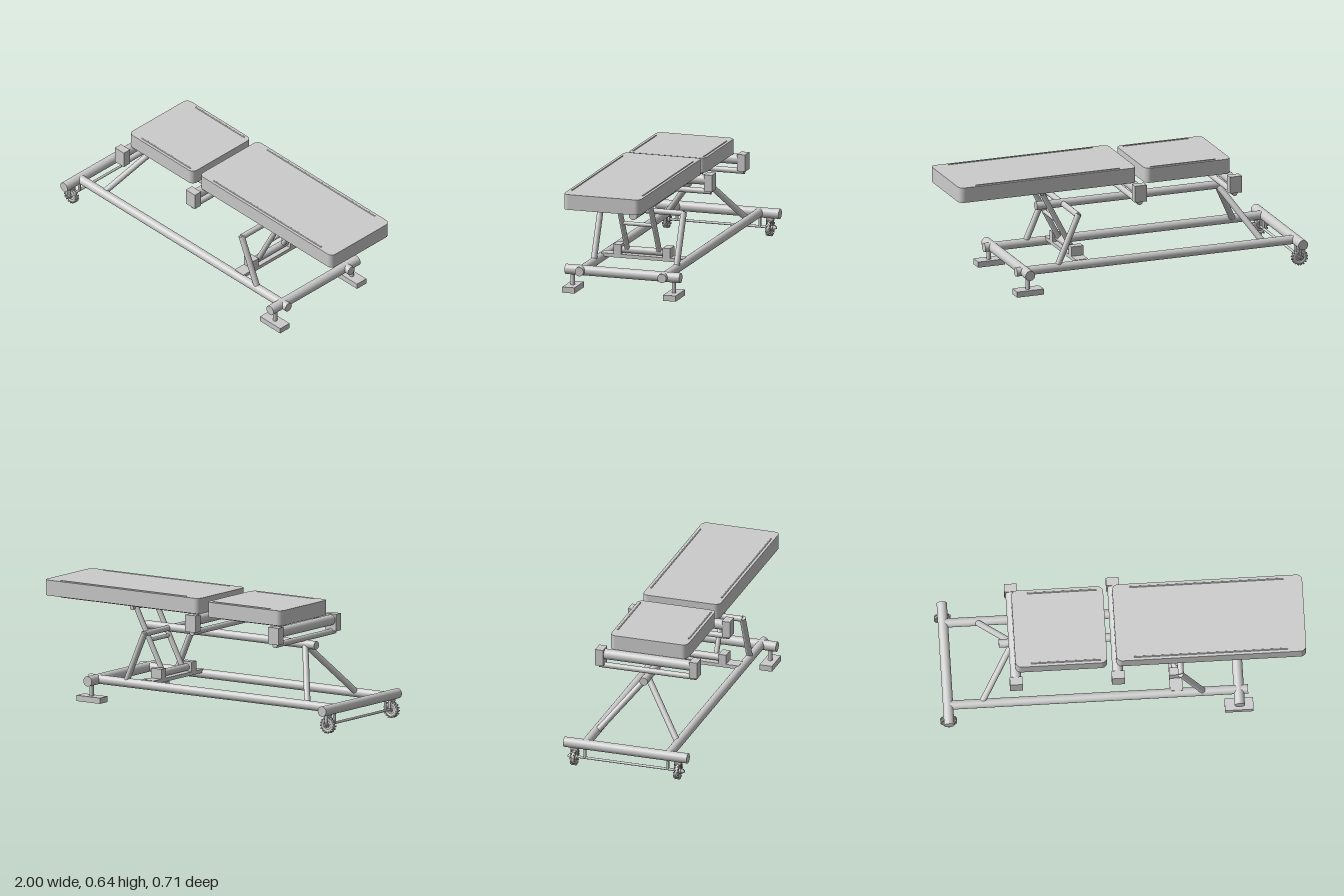
import * as THREE from 'three';

const material = new THREE.MeshStandardMaterial({ color: 0xcccccc });

export function createModel() {
  const model = new THREE.Group();

  const add = (name, geometry, x = 0, y = 0, z = 0, parent = model) => {
    const mesh = new THREE.Mesh(geometry, material);
    mesh.name = name;
    mesh.position.set(x, y, z);
    parent.add(mesh);
    return mesh;
  };
  const box = (name, w, h, d, x, y, z, parent) =>
    add(name, new THREE.BoxGeometry(w, h, d), x, y, z, parent);

  // Round tube between two points
  const tube = (name, a, b, r, parent) => {
    const from = new THREE.Vector3(...a), to = new THREE.Vector3(...b);
    const dir = to.clone().sub(from);
    const mesh = add(name, new THREE.CylinderGeometry(r, r, dir.length(), 32), 0, 0, 0, parent);
    mesh.position.copy(from).add(to).multiplyScalar(0.5);
    mesh.quaternion.setFromUnitVectors(new THREE.Vector3(0, 1, 0), dir.normalize());
    return mesh;
  };
  const crossTube = (name, x, y, halfLength, r) =>
    tube(name, [x, y, -halfLength], [x, y, halfLength], r);

  // Padded section: slab with rounded corners, piping on top, rails underneath
  const cushion = (name, x0, x1, y0, y1, piping, rail) => {
    const group = new THREE.Group();
    group.name = name;
    model.add(group);
    const r = 0.032, w = 0.222;
    const s = new THREE.Shape();
    s.absarc(x1 - r, w - r, r, 0, Math.PI / 2);
    s.absarc(x0 + r, w - r, r, Math.PI / 2, Math.PI);
    s.absarc(x0 + r, -w + r, r, Math.PI, Math.PI * 1.5);
    s.absarc(x1 - r, -w + r, r, Math.PI * 1.5, Math.PI * 2);
    const slab = new THREE.ExtrudeGeometry(s, { depth: y1 - y0, bevelEnabled: false, curveSegments: 10 });
    slab.rotateX(-Math.PI / 2);
    add('pad', slab, 0, y0, 0, group);
    for (const side of [-1, 1]) {
      tube('piping', [piping[0], y1, side * 0.203], [piping[1], y1, side * 0.203], 0.004, group);
      tube('padRail', [rail[0], y0 - 0.004, side * 0.152], [rail[1], y0 - 0.004, side * 0.152], 0.013, group);
    }
  };
  cushion('headCushion', -0.585, -0.085, 0.545, 0.628, [-0.5, -0.12], [-0.565, -0.135]);
  cushion('bodyCushion', -0.035, 1.0, 0.555, 0.64, [0.06, 0.9], [-0.01, 0.93]);

  // Base frame
  crossTube('rearCrossTube', -0.955, 0.13, 0.355, 0.028);
  crossTube('footCrossTube', 0.63, 0.13, 0.33, 0.028);
  for (const side of [-1, 1])
    tube('baseRail', [-0.955, 0.131, side * 0.238], [0.68, 0.131, side * 0.238], 0.025);

  // Central beam and its supporting legs
  tube('centralBeam', [-0.665, 0.415, 0], [0.47, 0.415, 0], 0.023);
  crossTube('legTopTube', 0.315, 0.413, 0.238, 0.016);
  for (const side of [-1, 1]) {
    tube('slantedLeg', [-0.765, 0.14, side * 0.225], [-0.59, 0.415, 0], 0.017);
    tube('uprightLeg', [0.435, 0.14, side * 0.238], [0.313, 0.42, side * 0.238], 0.017);
  }

  // Hinge brackets carrying the cushions
  for (const [x, y] of [[-0.585, 0.5], [-0.03, 0.512]]) {
    crossTube('hingeTube', x, y + 0.013, 0.255, 0.029);
    crossTube('lowerHingeTube', x, y - 0.052, 0.278, 0.016);
    for (const side of [-1, 1])
      box('hingeBracket', 0.07, 0.094, 0.046, x, y, side * 0.27);
  }

  // Lifting strut
  box('strutPlate', 0.07, 0.02, 0.47, 0.29, 0.148, 0);
  crossTube('strutPivot', 0.29, 0.18, 0.13, 0.02);
  tube('strutTopBar', [0.48, 0.523, -0.125], [0.48, 0.523, 0.125], 0.012);
  crossTube('strutRung', 0.386, 0.35, 0.09, 0.011);
  for (const side of [-1, 1]) {
    box('strutBlock', 0.07, 0.054, 0.043, 0.29, 0.185, side * 0.142);
    tube('strutArm', [0.3, 0.19, side * 0.092], [0.477, 0.53, side * 0.092], 0.0145);
  }

  // Feet
  for (const side of [-1, 1]) {
    box('foot', 0.156, 0.032, 0.071, 0.628, 0.03, side * 0.291);
    tube('footPost', [0.63, 0.04, side * 0.291], [0.63, 0.13, side * 0.291], 0.012);
  }

  // Wheels with knobbed tyres, axle and forks
  crossTube('axle', -0.955, 0.051, 0.335, 0.007);
  for (const side of [-1, 1]) {
    const wheel = new THREE.Group();
    wheel.name = 'wheel';
    wheel.position.set(-0.955, 0.048, side * 0.297);
    model.add(wheel);
    add('tyre', new THREE.TorusGeometry(0.032, 0.011, 12, 40), 0, 0, 0, wheel);
    tube('wheelDisc', [0, 0, -0.007], [0, 0, 0.007], 0.029, wheel);
    tube('hub', [0, 0, -0.016], [0, 0, 0.016], 0.013, wheel);
    for (let i = 0; i < 16; i++) {
      const a = (i / 16) * Math.PI * 2;
      for (const row of [-1, 1]) {
        const b = a + row * 0.1;
        box('tread', 0.009, 0.008, 0.011, Math.cos(b) * 0.041, Math.sin(b) * 0.041, row * 0.008, wheel)
          .rotation.z = b;
      }
    }
    for (const offset of [-0.019, 0.019])
      box('forkPlate', 0.016, 0.05, 0.004, -0.955, 0.067, side * 0.297 + offset);
    box('forkCrown', 0.02, 0.012, 0.042, -0.955, 0.098, side * 0.297);
    tube('axleHanger', [-0.955, 0.051, side * 0.238], [-0.955, 0.13, side * 0.238], 0.008);
    tube('axleNut', [-0.955, 0.051, side * 0.318], [-0.955, 0.051, side * 0.328], 0.011);
  }

  return model;
}
